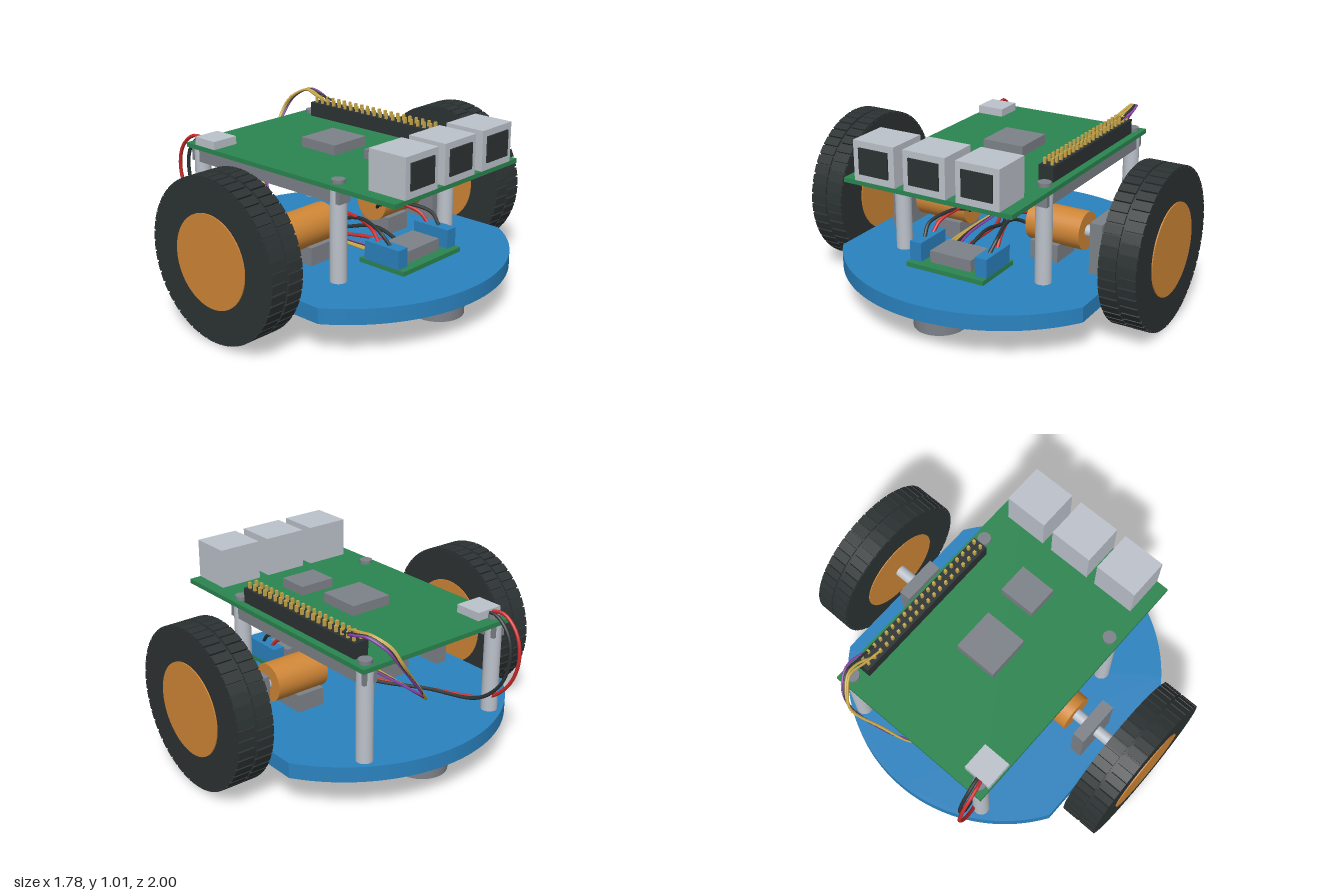
import * as THREE from 'three';

const mat = (name, color) => {
  const m = new THREE.MeshStandardMaterial({ color });
  m.name = name;
  return m;
};

export function createModel() {
  const blue = mat('blue', 0x2a82bf), green = mat('boardGreen', 0x2b8550);
  const light = mat('lightGrey', 0xbcc2cb), grey = mat('grey', 0x7d8289);
  const dark = mat('rubberBlack', 0x2c3233), orange = mat('orange', 0xcf8636);
  const gold = mat('gold', 0xc9a84a), red = mat('red', 0xc92a2a), purple = mat('purple', 0x8e44ad);

  const root = new THREE.Group();
  root.name = 'robotRover';
  const add = (name, geo, material, parent = root) => {
    const m = new THREE.Mesh(geo, material);
    m.name = name;
    parent.add(m);
    return m;
  };
  // Box given by its minimum and maximum on each axis
  const box = (name, material, x0, x1, y0, y1, z0, z1, parent) =>
    add(name, new THREE.BoxGeometry(x1 - x0, y1 - y0, z1 - z0)
      .translate((x0 + x1) / 2, (y0 + y1) / 2, (z0 + z1) / 2), material, parent);
  // Upright cylinder from y0 to y1
  const post = (name, material, r, x, z, y0, y1, seg = 24) =>
    add(name, new THREE.CylinderGeometry(r, r, y1 - y0, seg).translate(x, (y0 + y1) / 2, z), material);
  // Cylinder along z from z0 to z1 on the axle line
  const AXLE = 0.45;
  const axial = (name, material, r, z0, z1, parent, seg = 32) =>
    add(name, new THREE.CylinderGeometry(r, r, z1 - z0, seg).rotateX(Math.PI / 2)
      .translate(0, AXLE, (z0 + z1) / 2), material, parent);
  const wire = (name, material, r, pts) =>
    add(name, new THREE.TubeGeometry(new THREE.CatmullRomCurve3(
      pts.map(p => new THREE.Vector3(...p))), 64, r, 8), material);

  // Round base plate with two straight sides
  const R = 0.89, cut = Math.asin(0.745 / R);
  const plate = new THREE.Shape();
  plate.absarc(0, 0, R, -cut, cut, false);
  plate.absarc(0, 0, R, Math.PI - cut, Math.PI + cut, false);
  plate.closePath();
  add('basePlate', new THREE.ExtrudeGeometry(plate, { depth: 0.085, bevelEnabled: false, curveSegments: 32 })
    .rotateX(-Math.PI / 2).translate(0, 0.185, 0), blue);

  // Ball casters
  for (const x of [-0.64, 0.64]) {
    post('casterHousing', grey, 0.14, x, 0, 0.05, 0.186, 40);
    add('casterBall', new THREE.SphereGeometry(0.085, 32, 20).translate(x, 0.085, 0), light);
  }

  // Wheels with two staggered tread rows, shafts, brackets and motors
  const LUGS = 48;
  for (const side of [1, -1]) {
    const drive = new THREE.Group();
    drive.name = side > 0 ? 'frontDrive' : 'backDrive';
    if (side < 0) drive.rotation.y = Math.PI;
    root.add(drive);
    axial('tyre', dark, 0.425, 0.79, 0.994, drive, 64);
    axial('wheelHub', orange, 0.25, 0.785, 1.0, drive, 48);
    const lug = new THREE.BoxGeometry(0.047, 0.03, 0.095);
    const lugs = new THREE.InstancedMesh(lug, dark, 0);
    lugs.dispose();
    for (let row = 0; row < 2; row++) {
      for (let i = 0; i < LUGS; i++) {
        const a = (i + row / 2) / LUGS * Math.PI * 2;
        const m = add('treadLug', lug, dark, drive);
        m.position.set(-Math.sin(a) * 0.421, AXLE + Math.cos(a) * 0.421, row ? 0.9465 : 0.8385);
        m.rotation.z = a;
      }
    }
    axial('shaft', light, 0.033, 0.5, 0.79, drive);
    box('shaftBracket', grey, -0.125, 0.125, 0.27, 0.555, 0.59, 0.66, drive);
    axial('motor', orange, 0.105, 0.195, 0.515, drive);
    box('motorMount', grey, -0.1, 0.1, 0.27, 0.37, 0.225, 0.39, drive);
  }

  // Posts, rails and screws that hold the main board
  for (const z of [-0.435, 0.435]) {
    box('boardRail', grey, -0.735, 0.38, 0.7, 0.775, z - 0.04, z + 0.04);
    for (const x of [-0.695, 0.335]) {
      post('post', light, 0.045, x, z, 0.27, 0.772);
      post('screwHead', grey, 0.036, x, z, 0.8, 0.82);
    }
  }

  // Main board with chips, power socket and ports
  box('mainBoard', green, -0.755, 0.755, 0.775, 0.8, -0.495, 0.495);
  box('mainChip', grey, -0.23, 0.015, 0.8, 0.855, -0.125, 0.12);
  box('smallChip', grey, 0.16, 0.335, 0.8, 0.85, -0.16, 0.05);
  box('powerSocket', light, -0.685, -0.53, 0.8, 0.845, 0.33, 0.49);
  for (const z of [-0.305, 0, 0.3]) {
    box('port', light, 0.525, 0.757, 0.8, 1.015, z - 0.123, z + 0.123);
    box('portOpening', dark, 0.757, 0.766, 0.84, 0.98, z - 0.088, z + 0.088);
  }

  // Pin header
  box('pinHeader', dark, -0.64, 0.28, 0.8, 0.883, -0.455, -0.37);
  for (let i = 0; i < 20; i++)
    for (const z of [-0.434, -0.391]) {
      const x = -0.61 + i * 0.0455;
      box('pin', gold, x - 0.007, x + 0.007, 0.88, 0.917, z - 0.007, z + 0.007);
    }

  // Motor driver board
  box('driverBoard', green, 0.3, 0.6, 0.305, 0.33, -0.235, 0.235);
  box('driverChip', grey, 0.36, 0.54, 0.33, 0.395, -0.125, 0.125);
  for (const s of [1, -1]) {
    add('terminalBlock', new THREE.BoxGeometry(0.23, 0.105, 0.07).translate(0.45, 0.3825, s * 0.2), blue);
    // Motor wires
    wire('motorWireRed', red, 0.01, [[-0.02, 0.47, s * 0.2], [0.06, 0.5, s * 0.15], [0.22, 0.51, s * 0.16],
      [0.35, 0.48, s * 0.19], [0.4, 0.43, s * 0.2]]);
    wire('motorWireBlack', dark, 0.01, [[0.04, 0.43, s * 0.2], [0.1, 0.47, s * 0.15], [0.26, 0.515, s * 0.17],
      [0.42, 0.49, s * 0.21], [0.48, 0.43, s * 0.2]]);
  }

  // Power wires looping from the socket to the driver board
  wire('powerWireRed', red, 0.01, [[-0.66, 0.825, 0.43], [-0.75, 0.83, 0.45], [-0.84, 0.75, 0.455],
    [-0.873, 0.61, 0.45], [-0.82, 0.45, 0.44], [-0.7, 0.345, 0.41], [-0.45, 0.32, 0.3], [-0.1, 0.33, 0.1],
    [0.2, 0.36, 0.04], [0.37, 0.36, 0.03]]);
  wire('powerWireBlack', dark, 0.01, [[-0.66, 0.825, 0.41], [-0.73, 0.82, 0.42], [-0.81, 0.74, 0.425],
    [-0.837, 0.61, 0.42], [-0.79, 0.45, 0.41], [-0.67, 0.34, 0.37], [-0.4, 0.325, 0.26], [-0.1, 0.34, 0.06],
    [0.2, 0.41, 0.0], [0.37, 0.37, 0.0]]);

  // Signal wires from the pin header to the driver board
  [[purple, 0], [dark, 1], [gold, 2], [gold, 3]].forEach(([m, i]) => {
    const d = i * 0.012, x = -0.565 + (i % 2) * 0.045, z = i < 2 ? -0.434 : -0.391;
    wire('signalWire', m, 0.007, [[x, 0.9, z], [-0.64, 0.925, -0.455 + d * 1.5], [-0.72, 0.94, -0.445 + d],
      [-0.8, 0.89, -0.395 + d], [-0.825 - d * 0.3, 0.8, -0.33 + d * 0.4], [-0.79 + d * 0.3, 0.65, -0.2 + d * 0.4],
      [-0.7, 0.5 - d * 0.5, -0.05 + d * 0.4], [-0.5, 0.4 - d * 0.5, 0.08 + d * 0.5],
      [-0.15, 0.355, 0.14 + d * 0.5], [0.15, 0.35, 0.13 + d], [0.34, 0.345, 0.09 + d * 2]]);
  });

  return root;
}
